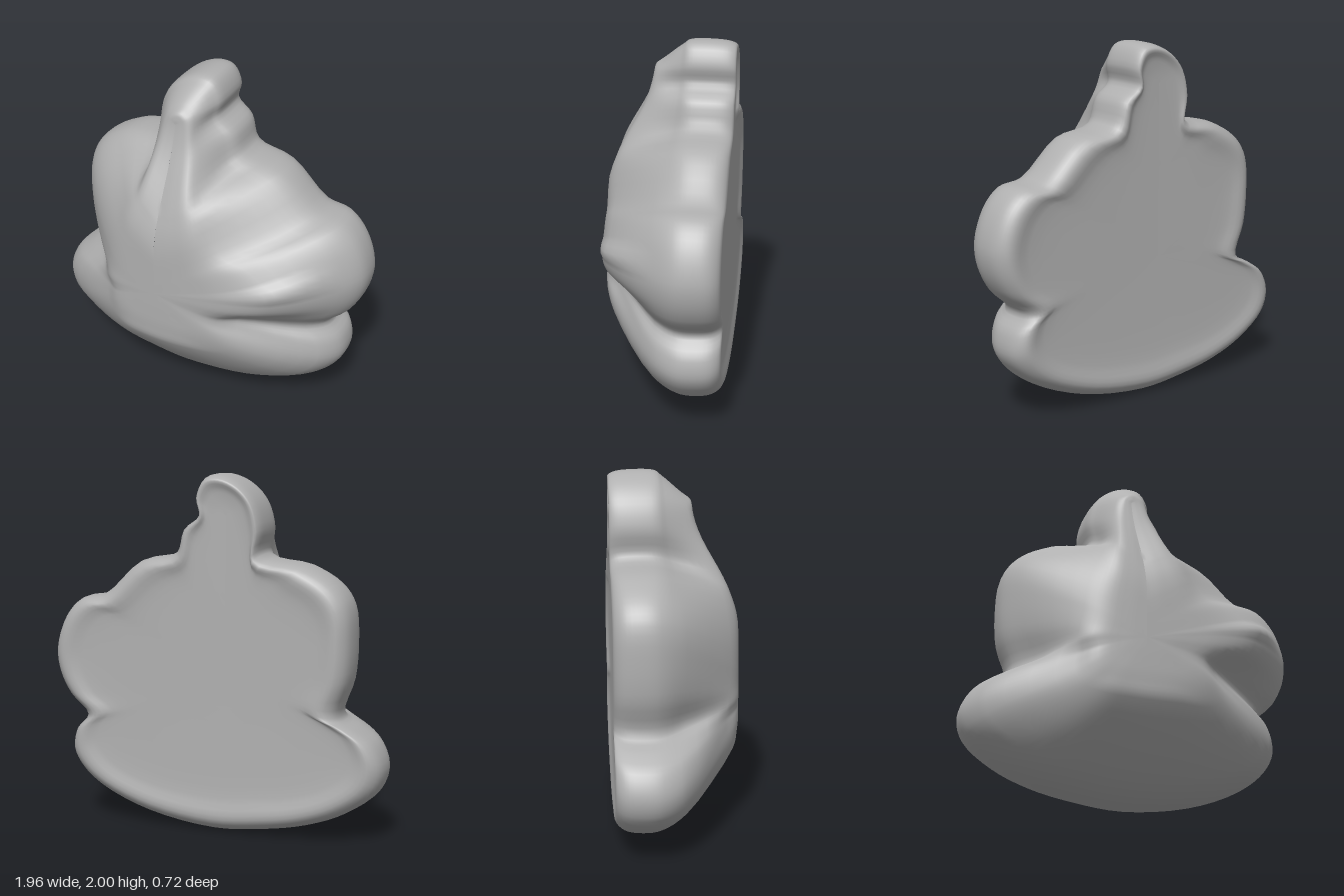
import * as THREE from 'three';
import { mergeVertices } from 'three/addons/utils/BufferGeometryUtils.js';

// Silhouette, clockwise: x, y, then the front shoulder (fraction of the way out, z)
const OUTLINE = [
  [0.98, 1.0, 0.66, 0.29], [0.965, 0.86, 0.63, 0.28], [0.9, 0.73, 0.56, 0.25],
  [0.79, 0.61, 0.5, 0.24], [0.86, 0.52, 0.5, 0.25], [0.88, 0.4, 0.54, 0.26],
  [0.83, 0.3, 0.55, 0.28], [0.7, 0.19, 0.54, 0.3], [0.4, 0.065, 0.49, 0.33],
  [0, 0.002, 0.47, 0.34], [-0.3, 0.025, 0.47, 0.34], [-0.55, 0.075, 0.49, 0.33],
  [-0.77, 0.165, 0.5, 0.3], [-0.94, 0.3, 0.48, 0.28], [-0.98, 0.43, 0.46, 0.27],
  [-0.93, 0.56, 0.46, 0.27], [-0.83, 0.635, 0.5, 0.27], [-0.725, 0.7, 0.54, 0.28],
  [-0.78, 0.9, 0.52, 0.29], [-0.795, 1.1, 0.5, 0.3], [-0.775, 1.31, 0.5, 0.3],
  [-0.7, 1.42, 0.5, 0.29], [-0.53, 1.515, 0.5, 0.26], [-0.285, 1.57, 0.55, 0.18],
  [-0.3, 1.71, 0.55, 0.11], [-0.26, 1.85, 0.55, 0.08], [-0.17, 1.95, 0.55, 0.06],
  [-0.05, 2, 0.55, 0.05], [0.04, 1.985, 0.55, 0.05], [0.092, 1.88, 0.55, 0.07],
  [0.075, 1.78, 0.55, 0.09], [0.17, 1.7, 0.55, 0.11], [0.22, 1.57, 0.55, 0.18],
  [0.45, 1.51, 0.5, 0.26], [0.67, 1.32, 0.54, 0.29], [0.82, 1.285, 0.6, 0.28],
  [0.92, 1.18, 0.64, 0.28],
];
const AROUND = 148, ALONG = 44, SPINE_X = -0.09;
const { lerp, smoothstep } = THREE.MathUtils;

const spline = (points, closed) => new THREE.CatmullRomCurve3(points, closed, 'centripetal');

// Upright spine that the cross-sections run out from, rising into the curled tip
const spineHeight = (y) => 0.8 + 0.98 * smoothstep(y, 1.2, 1.9);
const spineFront = (y) => 0.368 - 0.26 * smoothstep(y, 1.05, 1.85);

// Half cross-section from the back of the spine, around the rim, to its front: x = fraction, y = z
function section(reach, shoulder, shoulderZ, topZ) {
  const inset = (d) => 1 - d / Math.max(reach, 0.6);
  return spline([
    [0, -0.325], [0.45, -0.328], [inset(0.2), -0.335], [inset(0.08), -0.35],
    [inset(0.02), -0.3], [1, -0.2], [inset(0.012), -0.1],
    [inset(0.1), lerp(-0.1, shoulderZ, 0.34)], [shoulder, shoulderZ],
    [shoulder * 0.72, lerp(shoulderZ, topZ, 0.75)],
    [shoulder * 0.35, lerp(shoulderZ, topZ, 0.96)], [0, topZ],
  ].map(([t, z]) => new THREE.Vector3(t, z, 0)), false);
}

function bodyGeometry() {
  const edge = spline(OUTLINE.map(([x, y]) => new THREE.Vector3(x, y, 0)), true);
  const front = spline(OUTLINE.map(([, , s, z], i) => new THREE.Vector3(s, z, i * 0.1)), true);
  const rims = Array.from({ length: AROUND }, (_, i) => edge.getPoint(i / AROUND));
  const positions = [], indices = [];

  for (let i = 0; i < AROUND; i++) {
    // The notches of the rim soften towards the spine
    const rim = rims[i], soft = new THREE.Vector3();
    for (let k = -8; k <= 8; k++) soft.addScaledVector(rims[(i + k + AROUND) % AROUND], 1 / 17);
    const f = front.getPoint(i / AROUND);
    const hub = new THREE.Vector3(SPINE_X, spineHeight(rim.y), 0);
    const curve = section(rim.distanceTo(hub), f.x, f.y, spineFront(hub.y));

    for (let j = 0; j <= ALONG; j++) {
      const p = curve.getPoint(j / ALONG);
      const target = soft.clone().lerp(rim, smoothstep(p.x, 0.35, 0.85));
      const v = hub.clone().lerp(target, p.x);
      positions.push(v.x, v.y, p.y);
      if (j === ALONG) continue;
      const a = i * (ALONG + 1) + j, b = ((i + 1) % AROUND) * (ALONG + 1) + j;
      indices.push(a, a + 1, b, b, a + 1, b + 1);
    }
  }
  const geometry = new THREE.BufferGeometry();
  geometry.setAttribute('position', new THREE.Float32BufferAttribute(positions, 3));
  geometry.setIndex(indices);
  const welded = mergeVertices(geometry, 1e-4);
  welded.computeVertexNormals();
  return welded;
}

export function createModel() {
  const group = new THREE.Group();
  group.name = 'softSwirlBlob';
  const grey = new THREE.MeshStandardMaterial({ color: 0xb0b0b0 });
  grey.name = 'plain grey';

  // One continuous body: flat back, rounded rim, domed front with side lobes and a curled tip
  const body = new THREE.Mesh(bodyGeometry(), grey);
  body.name = 'body';
  group.add(body);
  return group;
}
